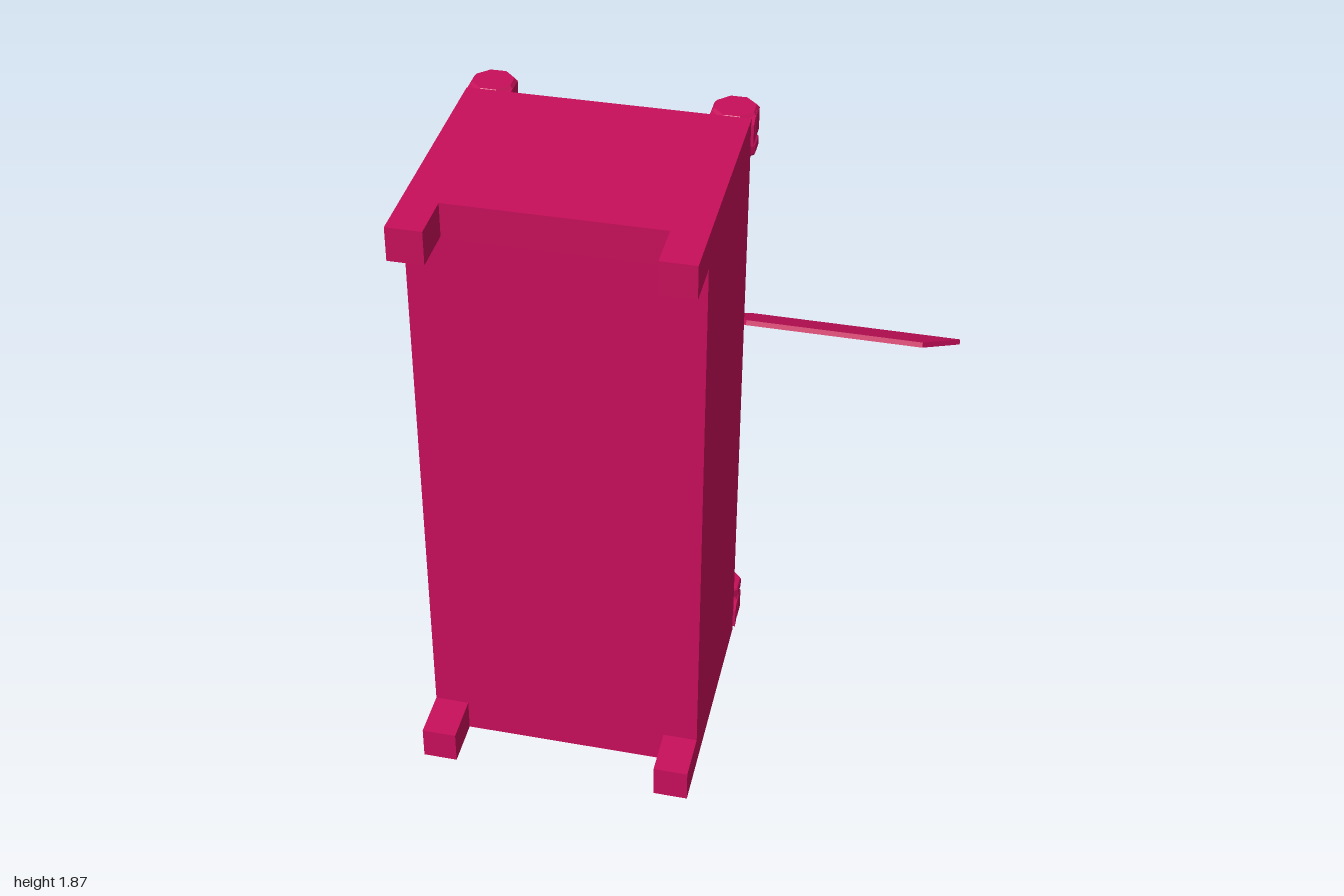
import * as THREE from 'three';
import { ConvexGeometry } from 'three/addons/geometries/ConvexGeometry.js';

const material = new THREE.MeshStandardMaterial({ color: 0xc80f5a, flatShading: true });

function add(parent, name, geometry, x = 0, y = 0, z = 0) {
  const mesh = new THREE.Mesh(geometry, material);
  mesh.name = name;
  mesh.position.set(x, y, z);
  parent.add(mesh);
  return mesh;
}

// Octagonal turned part; radii are measured to the flats
function octagon(profile) {
  const k = 1 / Math.cos(Math.PI / 8);
  return new THREE.LatheGeometry(
    profile.map(([r, y]) => new THREE.Vector2(r * k, y)), 8, Math.PI / 8);
}

const hull = (points) => new ConvexGeometry(points.map((p) => new THREE.Vector3(...p)));

function makeBody() {
  const body = new THREE.Group();
  body.name = 'body';

  // Column section (x, z): raised rails and a shallow fold down the back
  const half = [[0, 0.275], [0.2, 0.262], [0.28, 0.246], [0.385, 0.246], [0.4, 0.262], [0.4, 0.86]];
  const mirrored = half.slice(1).reverse().map(([x, z]) => [-x, z]);
  const shape = new THREE.Shape([...half, ...mirrored].map(([x, z]) => new THREE.Vector2(x, -z)));
  const column = new THREE.ExtrudeGeometry(shape, { depth: 1.66, bevelEnabled: false });
  column.rotateX(-Math.PI / 2);
  add(body, 'column', column, 0, 0.1, 0);

  // End blocks and the short feet at the front corners
  for (const y of [0.05, 1.8125]) {
    const h = y < 1 ? 0.1 : 0.105;
    add(body, 'endBlock', new THREE.BoxGeometry(0.8, h, 0.6), 0, y, 0.56);
    for (const s of [-1, 1]) {
      add(body, 'cornerFoot', new THREE.BoxGeometry(0.1, 0.1, 0.14), s * 0.35, y < 1 ? 0.05 : 1.815, 0.93);
    }
  }
  return body;
}

// Octagonal knob with a collar, nub and bracket; the collar points down
function makeKnob() {
  const knob = new THREE.Group();
  knob.name = 'cornerKnob';
  add(knob, 'knobHead', octagon([[0, 0], [0.055, 0], [0.063, 0.012], [0.063, 0.08], [0.055, 0.09], [0, 0.09]]));
  add(knob, 'knobStem', octagon([[0.03, -0.01], [0.03, 0.01]]));
  add(knob, 'knobCollar', octagon([[0, -0.062], [0.035, -0.062], [0.035, -0.045],
    [0.06, -0.042], [0.063, -0.036], [0.063, -0.01], [0.055, -0.004], [0, -0.004]]));
  const bracket = [];
  for (const [x, y0, y1, z] of [[0.06, 0.005, 0.085, 0], [0.065, 0.012, 0.078, 0.075]]) {
    for (const s of [-1, 1]) bracket.push([s * x, y0, z], [s * x, y1, z]);
  }
  add(knob, 'knobBracket', hull(bracket));
  return knob;
}

function makeBlade() {
  const blade = new THREE.Group();
  blade.name = 'blade';
  const w = 0.08, t = 0.009, root = 0.24;
  const plate = [], neck = [];
  for (const y of [-t, t]) {
    plate.push([root, y, -w], [0.975, y, -w], [0.855, y, w], [root, y, w]);
    neck.push([root, y, -w], [root, y, w], [0.15, y, -0.012], [0.15, y, 0.012]);
  }
  add(blade, 'bladePlate', hull(plate));
  add(blade, 'bladeNeck', hull(neck));
  const socket = new THREE.CylinderGeometry(0.014, 0.035, 0.12, 6);
  socket.rotateZ(-Math.PI / 2);
  add(blade, 'bladeSocket', socket, 0.11, 0, 0);
  blade.rotation.x = -0.44;
  return blade;
}

function makeRotor() {
  const rotor = new THREE.Group();
  rotor.name = 'rotor';
  add(rotor, 'mast', octagon([[0.034, 0.25], [0.034, 0.34]]));
  add(rotor, 'lowerHub', octagon([[0, 0.31], [0.035, 0.31], [0.075, 0.32], [0.125, 0.345], [0.125, 0.36], [0, 0.36]]));
  add(rotor, 'hubCore', octagon([[0.06, 0.35], [0.06, 0.45]]));
  // Dished cap
  add(rotor, 'hubCap', octagon([[0, 0.433], [0.125, 0.433], [0.122, 0.455], [0.105, 0.497],
    [0.082, 0.497], [0.055, 0.47], [0, 0.47]]));
  for (const turn of [0, Math.PI]) {
    const arm = new THREE.Group();
    arm.name = turn ? 'rightBlade' : 'leftBlade';
    arm.add(makeBlade());
    arm.rotation.y = turn;
    arm.position.y = 0.41;
    rotor.add(arm);
  }
  rotor.position.z = -0.875;
  return rotor;
}

export function createModel() {
  const model = new THREE.Group();
  model.name = 'model';
  model.add(makeBody());

  // Knobs at the four back corners, the lower pair upside down
  for (const s of [-1, 1]) {
    for (const top of [true, false]) {
      const holder = makeKnob();
      holder.position.set(s * 0.343, top ? 1.77 : 0.095, 0.192);
      if (!top) {
        // Half turn about z keeps the bracket facing the body
        holder.rotation.z = Math.PI;
      }
      model.add(holder);
    }
  }

  // Tail boom with its elbow
  const boom = octagon([[0, 0], [0.042, 0], [0.042, 1.13], [0, 1.13]]);
  boom.rotateX(-Math.PI / 2);
  add(model, 'tailBoom', boom, 0, 0.24, 0.28);
  add(model, 'elbow', octagon([[0, 0.185], [0.022, 0.185], [0.034, 0.21], [0.034, 0.29], [0.025, 0.305], [0, 0.305]]), 0, 0, -0.872);

  model.add(makeRotor());
  return model;
}
